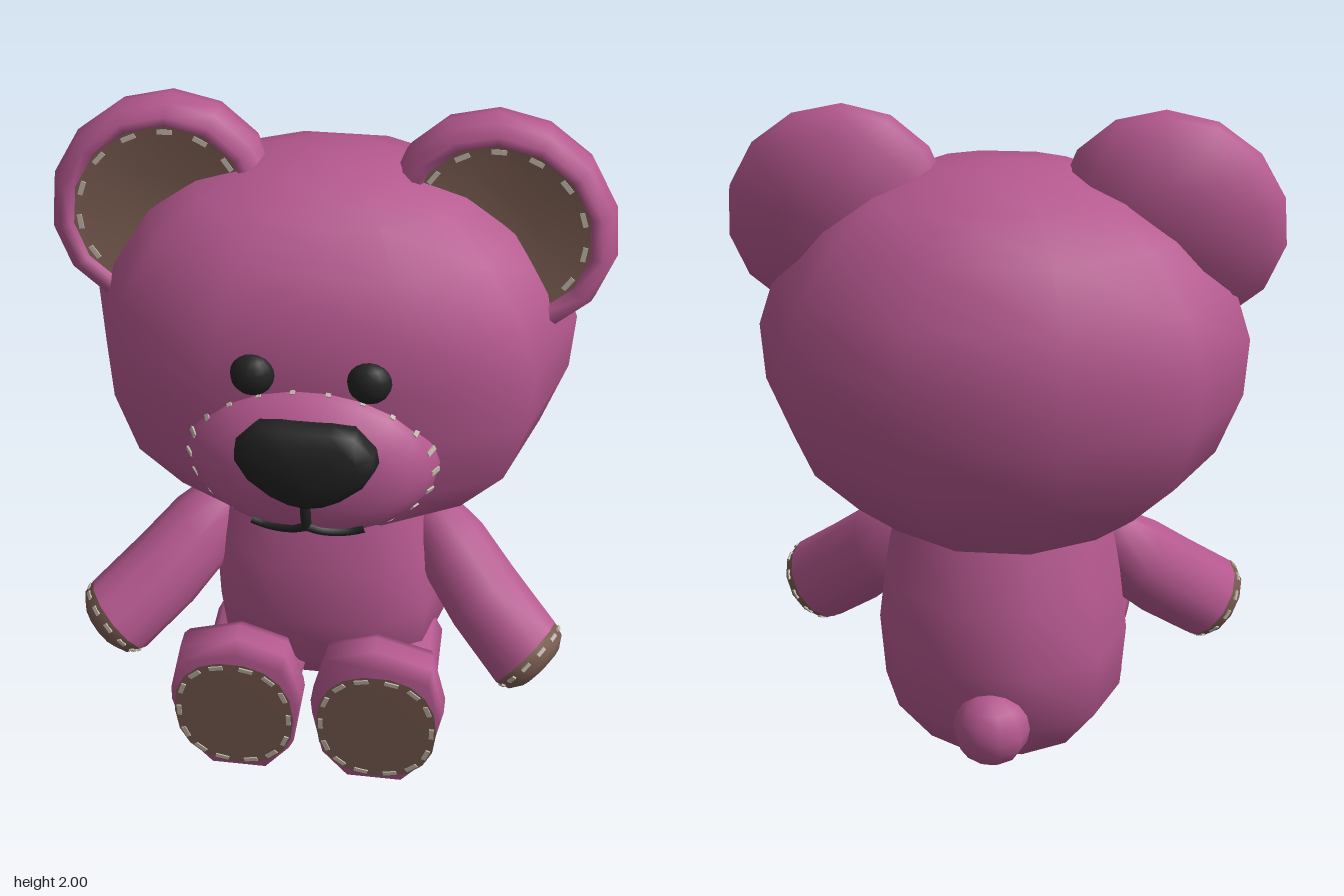
import * as THREE from 'three';
import { mergeGeometries, mergeVertices } from 'three/addons/utils/BufferGeometryUtils.js';

const V = (x, y, z) => new THREE.Vector3(x, y, z);
const material = (name, color, side = THREE.FrontSide) => {
  const m = new THREE.MeshStandardMaterial({ color, side });
  m.name = name;
  return m;
};

// Joins cross-sections with the same number of points into a smooth skin
function loft(rings) {
  const n = rings[0].length, pos = [], idx = [];
  rings.forEach(r => r.forEach(p => pos.push(p.x, p.y, p.z)));
  for (let j = 0; j < rings.length - 1; j++) {
    for (let i = 0; i < n; i++) {
      const a = j * n + i, b = j * n + (i + 1) % n;
      idx.push(a, b, a + n, b, b + n, a + n);
    }
  }
  let g = new THREE.BufferGeometry();
  g.setAttribute('position', new THREE.Float32BufferAttribute(pos, 3));
  g.setIndex(idx);
  g = mergeVertices(g, 1e-5);
  g.computeVertexNormals();
  return g;
}

// Signed power, below 1 it squares off a circle
const pow = (k, e) => Math.sign(k) * Math.abs(k) ** e;

// Ellipse around c, running from direction u towards v
function ring(c, u, v, a, b, n = 12, e = 1) {
  return Array.from({ length: n }, (_, i) => {
    const t = i / n * Math.PI * 2;
    return c.clone().addScaledVector(u, a * pow(Math.cos(t), e)).addScaledVector(v, b * pow(Math.sin(t), e));
  });
}

// Ten-sided horizontal section, squarer in front: height, half width, front z, back z
function section([y, hw, zf, zb]) {
  return Array.from({ length: 10 }, (_, i) => {
    const t = (i + 0.5) / 10 * Math.PI * 2, e = Math.cos(t) > 0 ? 0.78 : 1;
    return V(hw * pow(Math.sin(t), e), y, (zf + zb) / 2 + (zf - zb) / 2 * pow(Math.cos(t) / 0.951, e));
  });
}

// Short thin dashes along a closed loop of points, facing the normal given for each point
function stitches(points, normalAt, length = 0.042, width = 0.014) {
  return mergeGeometries(points.map((p, i) => {
    const z = normalAt(p).normalize();
    const along = points[(i + 1) % points.length].clone().sub(points.at(i - 1));
    const y = z.clone().cross(along).normalize();
    const m = new THREE.Matrix4().makeBasis(y.clone().cross(z), y, z).setPosition(p);
    return new THREE.BoxGeometry(length, width, 0.006).applyMatrix4(m);
  }));
}

function mirrored(geometry) {
  const g = geometry.clone();
  g.scale(-1, 1, 1);
  const a = g.index.array;
  for (let i = 0; i < a.length; i += 3) [a[i], a[i + 1]] = [a[i + 1], a[i]];
  return g;
}

export function createModel() {
  const model = new THREE.Group();
  model.name = 'teddyBear';
  const plush = material('pinkPlush', 0xb5588f);
  const felt = material('brownFelt', 0x7a5d51, THREE.DoubleSide);
  const black = material('black', 0x222222);
  const thread = material('paleThread', 0xbfb4a8);

  const add = (name, geometry, mat) => {
    const mesh = new THREE.Mesh(geometry, mat);
    mesh.name = name;
    model.add(mesh);
  };
  const pair = (name, geometry, mat) => {
    add('left' + name, geometry, mat);
    add('right' + name, mirrored(geometry), mat);
  };
  const X = V(1, 0, 0), Y = V(0, 1, 0);

  // Head
  add('head', loft([
    [0.75, 0, -0.08, -0.08], [0.75, 0.3, 0.16, -0.31], [0.78, 0.36, 0.21, -0.36],
    [0.87, 0.49, 0.33, -0.45], [1.0, 0.63, 0.37, -0.53], [1.19, 0.7, 0.385, -0.58],
    [1.36, 0.71, 0.385, -0.58], [1.51, 0.66, 0.375, -0.55], [1.67, 0.54, 0.31, -0.46],
    [1.77, 0.4, 0.2, -0.36], [1.84, 0.2, 0.1, -0.2], [1.855, 0, -0.06, -0.06],
  ].map(section)), plush);

  // Body
  add('body', loft([
    [0, 0, -0.07, -0.07], [0.01, 0.11, 0.0, -0.15], [0.05, 0.26, 0.11, -0.29],
    [0.2, 0.37, 0.22, -0.4], [0.4, 0.385, 0.26, -0.43], [0.6, 0.36, 0.24, -0.4],
    [0.77, 0.33, 0.2, -0.34], [0.84, 0.31, 0.18, -0.32],
  ].map(section)), plush);

  // Tail
  const tail = new THREE.SphereGeometry(0.115, 10, 8);
  tail.scale(1, 1, 0.95);
  tail.translate(0, 0.225, -0.415);
  add('tail', tail, plush);

  // Ears: thick rim around a shallow felt lining, tips leaning back
  const earU = V(0.81, -0.59, 0.08), earV = V(0.59, 0.81, -0.08);
  const earRing = ([r, z], n = 14) => ring(V(0.478, 1.688, z), earU, earV, r * 1.1, r, n);
  pair('Ear', loft([[0, -0.195], [0.13, -0.185], [0.24, -0.14], [0.295, -0.08], [0.305, -0.03],
    [0.293, 0.015], [0.265, 0.042], [0.24, 0.036], [0.23, 0.01]].map(r => earRing(r))), plush);
  pair('EarLining', loft([[0.235, 0.022], [0.19, 0.014], [0.1, 0.002], [0, -0.005]]
    .map(r => earRing(r))), felt);
  pair('EarStitches', stitches(earRing([0.217, 0.02], 14), () => V(-0.02, 0.11, 1)), thread);

  // Muzzle
  const muzzleZ = r => 0.32 + 0.185 * Math.sqrt(Math.max(0, 1 - r ** 3));
  const onMuzzle = (x, y) => V(x, y, muzzleZ(Math.hypot(x / 0.36, (y - 1.12) / 0.25)));
  const muzzleRing = r => ring(V(0, 1.12, muzzleZ(r)), X, Y, 0.36 * r, 0.25 * r, 22);
  add('muzzle', loft([1, 0.98, 0.92, 0.8, 0.62, 0.35, 0].map(muzzleRing)), plush);
  const muzzleNormal = p => V(p.x / 0.13, (p.y - 1.12) / 0.0625, 1.6);
  add('muzzleStitches', stitches(muzzleRing(0.965), muzzleNormal, 0.014, 0.035), thread);

  // Nose: rounded triangle swelling forward
  const noseHalf = [[0, 1.05], [0.05, 1.06], [0.1, 1.085], [0.165, 1.14], [0.2, 1.205], [0.193, 1.25],
    [0.14, 1.308], [0.07, 1.315], [0, 1.315]];
  const noseEdge = [...noseHalf, ...noseHalf.slice(1, -1).reverse().map(([x, y]) => [-x, y])];
  add('nose', loft([[0.9, 0.43], [1, 0.475], [0.96, 0.515], [0.75, 0.54], [0.4, 0.55], [0, 0.553]]
    .map(([k, z]) => noseEdge.map(([x, y]) => V(x * k, 1.19 + (y - 1.19) * k, z)))), black);

  // Mouth
  const thinTube = pts => new THREE.TubeGeometry(
    new THREE.CatmullRomCurve3(pts.map(([x, y]) => onMuzzle(x, y))), 12, 0.015, 6);
  add('mouthLine', thinTube([[0, 1.08], [0, 1.02], [0, 0.965]]), black);
  pair('MouthCurve', thinTube([[0, 0.975], [0.035, 0.956], [0.08, 0.946], [0.125, 0.947], [0.16, 0.958]]), black);

  // Eyes
  const eye = new THREE.SphereGeometry(0.062, 14, 10);
  eye.scale(1, 1, 0.8);
  eye.translate(0.16, 1.4, 0.38);
  pair('Eye', eye, black);

  // Arms with felt paws
  const armW = V(0.77, -0.54, 0.34).normalize();
  const armU = V(0.34, 0, -0.77).normalize();
  const armV = armW.clone().cross(armU);
  const armRing = ([x, y, z, r]) => ring(V(x, y, z), armU, armV, r * 0.92, r);
  const wrist = [0.64, 0.346, 0.24, 0.139];
  pair('Arm', loft([[0.28, 0.72, -0.02, 0], [0.315, 0.68, 0, 0.09], [0.4, 0.575, 0.06, 0.13],
    [0.5, 0.47, 0.14, 0.138], wrist].map(armRing)), plush);
  pair('Paw', loft([wrist, [0.672, 0.325, 0.256, 0.125], [0.692, 0.312, 0.265, 0.085],
    [0.7, 0.306, 0.269, 0]].map(armRing)), felt);
  const pawNormal = p => p.clone().sub(V(0.64, 0.346, 0.24)).addScaledVector(armW, 0.03);
  pair('PawStitches', stitches(armRing([0.656, 0.3355, 0.248, 0.132]), pawNormal, 0.032, 0.012), thread);

  // Legs with upright feet: z, centre height, half width, half height
  const outline = [[-0.05, 1], [-0.77, 0.8], [-1, 0.15], [-0.85, -0.55], [-0.45, -0.95],
    [0.42, -0.95], [0.82, -0.55], [1, 0.15], [0.8, 0.8]];
  const legRing = ([z, y, a, b]) => outline.map(([px, py]) =>
    V(0.213 + px * a, y + py * b, z + py * b * 0.07));
  pair('Leg', loft([[-0.07, 0.17, 0, 0], [-0.06, 0.17, 0.11, 0.085], [0, 0.17, 0.16, 0.11],
    [0.2, 0.155, 0.16, 0.1], [0.34, 0.165, 0.155, 0.105], [0.375, 0.205, 0.165, 0.145],
    [0.42, 0.285, 0.19, 0.262], [0.46, 0.29, 0.2, 0.28], [0.52, 0.29, 0.2, 0.28],
    [0.56, 0.285, 0.19, 0.25], [0.562, 0.285, 0, 0]].map(legRing)), plush);

  // Felt soles
  const soleRing = (z, k, n) => ring(V(0.215, 0.283, z), X, V(0, 1, 0.07), 0.181 * k, 0.222 * k, n, 0.88);
  pair('Sole', loft([soleRing(0.566, 1, 18), soleRing(0.567, 0, 18)]), felt);
  pair('SoleStitches', stitches(soleRing(0.567, 0.92, 14), () => V(0, -0.07, 1)), thread);

  return model;
}
